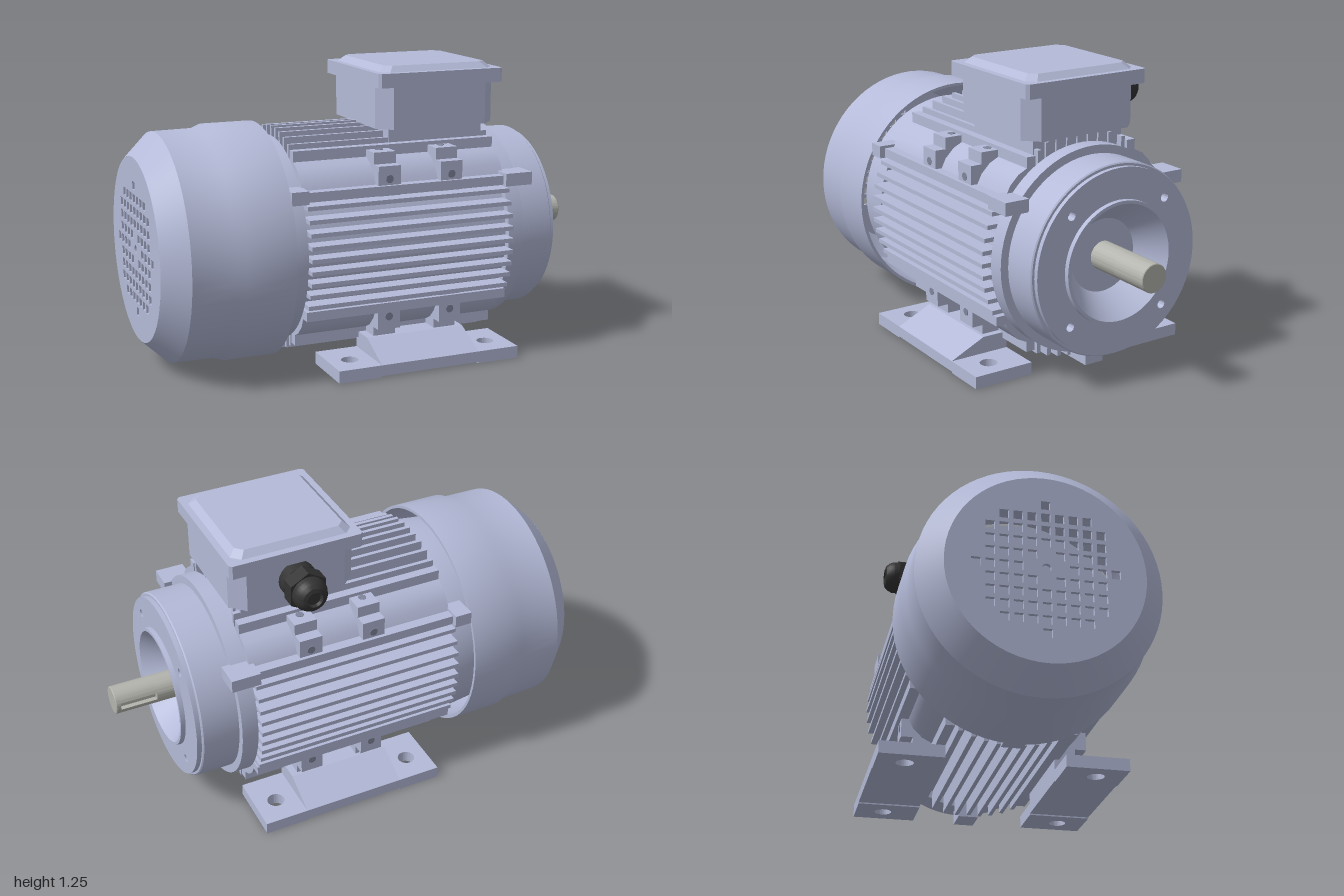
import * as THREE from 'three';
import { toCreasedNormals } from 'three/addons/utils/BufferGeometryUtils.js';

const AXIS = 0.515; // height of the shaft line
const mat = (color) => new THREE.MeshStandardMaterial({ color, side: THREE.DoubleSide });

export function createModel() {
  const model = new THREE.Group();
  const paint = mat(0xb4bad8), steel = mat(0xb4b4ae), black = mat(0x333333), shade = mat(0x80859c);

  const add = (name, geo, material = paint, x = 0, y = 0, z = 0) => {
    const mesh = new THREE.Mesh(geo, material);
    mesh.name = name;
    mesh.position.set(x, y, z);
    model.add(mesh);
    return mesh;
  };
  const box = (name, x0, x1, y0, y1, z0, z1) =>
    add(name, new THREE.BoxGeometry(x1 - x0, y1 - y0, z1 - z0), paint, (x0 + x1) / 2, (y0 + y1) / 2, (z0 + z1) / 2);
  // turned part on the shaft line, profile given as [x, radius]
  const turned = (name, profile, material = paint) => {
    const geo = new THREE.LatheGeometry(profile.map(([x, r]) => new THREE.Vector2(r, x)), 72);
    return add(name, toCreasedNormals(geo.rotateZ(-Math.PI / 2), 0.4), material, 0, AXIS);
  };
  const polygon = (pts) => new THREE.Shape(pts.map(([a, b]) => new THREE.Vector2(a, b)));
  const disc = (r, x = 0, y = 0, Kind = THREE.Shape) => {
    const s = new Kind();
    s.absarc(x, y, r, 0, Math.PI * 2);
    return s;
  };
  const extrude = (shape, depth) =>
    toCreasedNormals(new THREE.ExtrudeGeometry(shape, { depth, bevelEnabled: false, curveSegments: 32 }), 0.4);
  // section in (-z, y) swept along x
  const alongX = (name, shape, x0, x1, y = AXIS, material = paint) =>
    add(name, extrude(shape, x1 - x0).rotateY(Math.PI / 2), material, x0, y);
  // plan in (x, -z) swept along y
  const alongY = (name, shape, y0, y1, x = 0, z = 0) =>
    add(name, extrude(shape, y1 - y0).rotateX(-Math.PI / 2), paint, x, y0, z);

  // Fan cowl: hollow shell with a square-hole grille
  turned('fanCowl', [[-1, 0.39], [-0.985, 0.405], [-0.9, 0.485], [-0.72, 0.487], [-0.68, 0.503], [-0.47, 0.503],
    [-0.47, 0.49], [-0.68, 0.49], [-0.72, 0.474], [-0.895, 0.472], [-0.985, 0.385]]);
  const grille = disc(0.39);
  const cell = 0.054, half = 0.018;
  for (let i = -5; i <= 5; i++) for (let j = -5; j <= 5; j++) {
    const d = Math.hypot(i, j) * cell;
    if (d > 0.275 || d < 0.06) continue;
    const u = i * cell, v = j * cell;
    grille.holes.push(polygon([[u - half, v - half], [u - half, v + half], [u + half, v + half], [u + half, v - half]]));
  }
  grille.holes.push(disc(0.018, 0, 0, THREE.Path));
  alongX('cowlGrille', grille, -1, -0.985);

  // Stator core and end shields
  turned('rearShield', [[-0.56, 0], [-0.56, 0.43], [-0.47, 0.44], [-0.4, 0.44], [-0.4, 0]]);
  turned('statorCore', [[-0.42, 0.41], [0.54, 0.41]]);
  turned('frontShield', [[0.52, 0], [0.52, 0.44], [0.59, 0.44], [0.59, 0.39]]);

  // Cooling fins: level on the sides, upright on top and bottom
  for (let i = -4; i <= 4; i++) {
    const o = i * 0.052, reach = Math.sqrt(0.482 ** 2 - o * o);
    for (const s of [-1, 1]) {
      const tip = s * reach, root = s * 0.33;
      const lo = Math.min(tip, root), hi = Math.max(tip, root);
      box('sideFin', -0.4, 0.52, AXIS + o - 0.009, AXIS + o + 0.009, lo, hi);
      box(s > 0 ? 'topFin' : 'bottomFin', -0.4, s > 0 && reach > 0.44 ? 0.5 : 0.52, AXIS + lo, AXIS + hi, o - 0.009, o + 0.009);
    }
  }

  // Corner rails and bolt lugs on all four diagonals
  const lugX = [[-0.075, 0.025], [0.21, 0.31]];
  for (const sz of [-1, 1]) for (const sy of [-1, 1]) {
    const section = (pts) => polygon(pts.map(([z, y]) => [-z * sz, y * sy]));
    alongX('cornerRail', section([[0.23, 0.3], [0.23, 0.415], [0.27, 0.415], [0.27, 0.37], [0.31, 0.35],
      [0.35, 0.31], [0.37, 0.27], [0.415, 0.27], [0.415, 0.23], [0.3, 0.23]]), -0.4, 0.52);
    for (const [x0, x1] of lugX) {
      alongX('boltLug', section([[0.24, 0.24], [0.24, 0.4], [0.35, 0.4], [0.35, 0.35], [0.4, 0.35], [0.4, 0.225], [0.3, 0.225]]), x0, x1);
      const xm = (x0 + x1) / 2;
      const hole = new THREE.CylinderGeometry(0.017, 0.017, 0.01, 20);
      add('lugHole', hole, shade, xm, AXIS + sy * 0.397, sz * 0.29);
      add('lugHole', hole, shade, xm, AXIS + sy * 0.295, sz * 0.397).rotation.x = Math.PI / 2;
    }
  }

  // Shield clamps: two upper, one at the bottom, on both ends
  for (const [x0, x1] of [[-0.47, -0.395], [0.5, 0.625]]) {
    for (const s of [-1, 1]) box('shieldClamp', x0, x1, 0.742, 0.797, s > 0 ? 0.33 : -0.44, s > 0 ? 0.44 : -0.33);
    box('shieldClamp', x0, x1, 0.025, 0.13, -0.045, 0.045);
  }

  // Mounting flange with a dished centre
  turned('flangeRim', [[0.58, 0.405], [0.745, 0.405], [0.75, 0.4], [0.75, 0.388]]);
  const face = disc(0.39);
  face.holes.push(disc(0.25, 0, 0, THREE.Path));
  for (const u of [-0.23, 0.23]) for (const v of [-0.23, 0.23]) face.holes.push(disc(0.018, u, v, THREE.Path));
  alongX('flangeFace', face, 0.73, 0.77);
  turned('flangeDish', [[0.76, 0.26], [0.79, 0.258], [0.79, 0.245], [0.67, 0.155], [0.67, 0]]);

  // Shaft with a closed keyway
  turned('shaft', [[0.66, 0.06], [0.82, 0.06], [0.82, 0]], steel);
  const keyed = new THREE.Shape();
  const a = Math.asin(0.016 / 0.06);
  keyed.absarc(0, 0, 0.06, a, Math.PI * 2 - a);
  keyed.lineTo(0.036, -0.016);
  keyed.lineTo(0.036, 0.016);
  alongX('shaftKeyway', keyed, 0.82, 0.98, AXIS, steel);
  turned('shaftEnd', [[0.98, 0], [0.98, 0.06], [0.997, 0.06], [1, 0.057], [1, 0]], steel);

  // Feet: drilled pads joined by a sloped web
  for (const s of [-1, 1]) {
    for (const [x0, x1, hx] of [[-0.3, -0.11, -0.205], [0.34, 0.53, 0.435]]) {
      const pad = polygon([[x0, -s * 0.25], [x1, -s * 0.25], [x1, -s * 0.52], [x0, -s * 0.52]]);
      pad.holes.push(disc(0.037, hx, -s * 0.4, THREE.Path));
      alongY('footPad', pad, 0, 0.053);
    }
    alongX('footWeb', polygon([[0.25, 0.006], [0.52, 0.006], [0.52, 0.053], [0.365, 0.125], [0.25, 0.125]]
      .map(([z, y]) => [-s * z, y])), -0.11, 0.34, 0);
  }

  // Terminal box: neck, chamfered base, lid with bevelled top
  const bx = 0.265;
  const chamfered = (w, d, c) => [[w - c, -d], [w, c - d], [w, d - c], [w - c, d], [c - w, d], [-w, d - c], [-w, c - d], [c - w, -d]];
  box('terminalNeck', 0.05, 0.49, 0.86, 1.0, -0.22, 0.22);
  alongY('terminalBase', polygon(chamfered(0.275, 0.275, 0.06)), 0.99, 1.172, bx);
  alongY('terminalLid', polygon(chamfered(0.29, 0.293, 0.012)), 1.17, 1.23, bx);
  // bevelled lid top lofted between two outlines
  const lower = chamfered(0.262, 0.262, 0.035), upper = chamfered(0.235, 0.235, 0.03);
  const pos = [];
  lower.forEach(([x, z], i) => {
    const k = (i + 1) % 8, [x2, z2] = lower[k], [u, w] = upper[i], [u2, w2] = upper[k];
    pos.push(x, 0, z, u, 0.025, w, x2, 0, z2, x2, 0, z2, u, 0.025, w, u2, 0.025, w2);
    pos.push(0, 0.025, 0, u2, 0.025, w2, u, 0.025, w);
  });
  const bevel = new THREE.BufferGeometry();
  bevel.setAttribute('position', new THREE.Float32BufferAttribute(pos, 3));
  bevel.computeVertexNormals();
  add('lidTop', bevel, paint, bx, 1.23, 0);

  // Cable gland pointing to the rear
  const gland = (name, geo, z) => add(name, toCreasedNormals(geo.rotateX(-Math.PI / 2), 0.4), black, bx, 1.09, z);
  gland('glandCollar', new THREE.CylinderGeometry(0.078, 0.078, 0.06, 32), -0.295);
  gland('glandNut', new THREE.CylinderGeometry(0.088, 0.088, 0.065, 6), -0.358);
  gland('glandDome', new THREE.LatheGeometry([[0.072, 0], [0.072, 0.025], [0.064, 0.045], [0.05, 0.06], [0.034, 0.065], [0.03, 0.05], [0, 0.05]]
    .map(([r, y]) => new THREE.Vector2(r, y)), 32), -0.388);

  return model;
}
